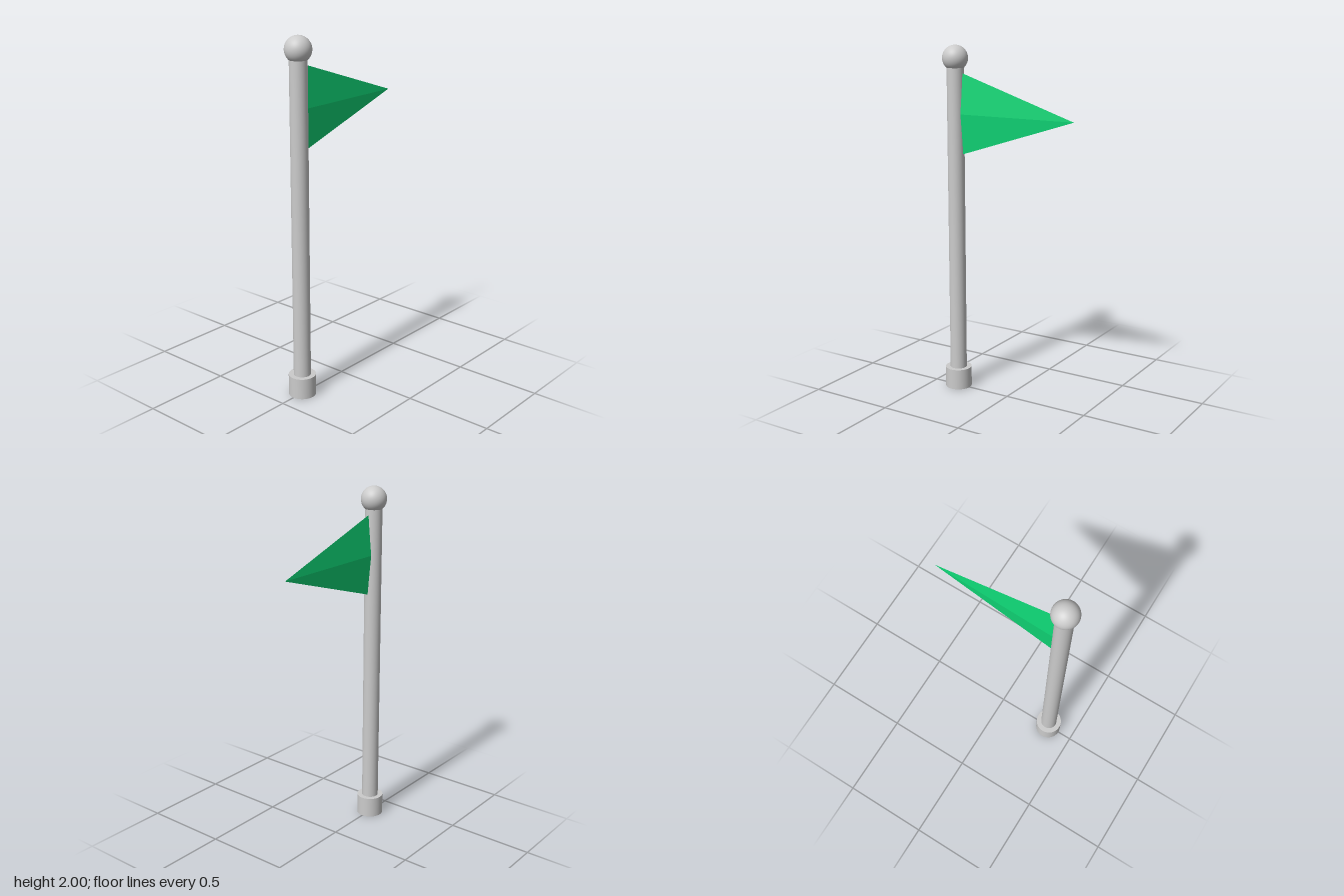
import * as THREE from 'three';

const POLE_X = -0.338;

export function createModel() {
  const model = new THREE.Group();
  model.name = 'pennantOnPole';
  const grey = new THREE.MeshStandardMaterial({ color: 0xcccccc });
  const green = new THREE.MeshStandardMaterial({ color: 0x0fd676, flatShading: true });

  const add = (name, geometry, material, x, y) => {
    const mesh = new THREE.Mesh(geometry, material);
    mesh.name = name;
    mesh.position.set(x, y, 0);
    model.add(mesh);
  };
  // Upright cylinder between two heights
  const addPost = (name, radius, bottom, top) =>
    add(name, new THREE.CylinderGeometry(radius, radius, top - bottom, 48),
      grey, POLE_X, (bottom + top) / 2);

  addPost('base', 0.0765, 0, 0.12);
  addPost('pole', 0.048, 0.12, 1.89);
  add('finial', new THREE.SphereGeometry(0.072, 48, 32), grey, POLE_X, 1.928);

  // Pennant: a four-sided cone laid on its side, pressed thin front to back
  const root = -0.295, tip = 0.41;
  const pennant = new THREE.ConeGeometry(0.227, tip - root, 4);
  pennant.rotateZ(-Math.PI / 2);
  pennant.scale(1, 1, 0.019 / 0.227);
  add('pennant', pennant, green, (root + tip) / 2, 1.62);

  return model;
}
